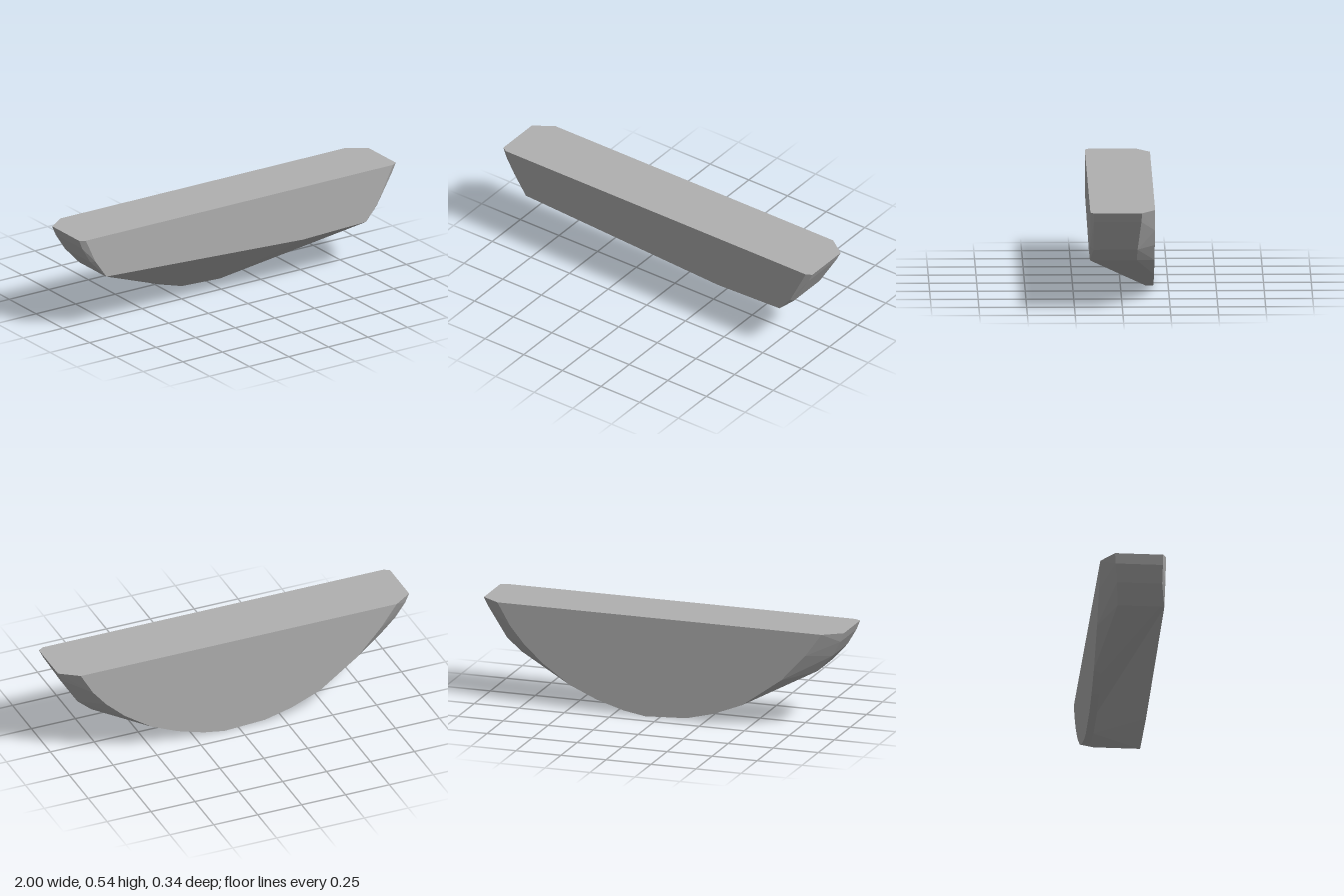
import * as THREE from 'three';
import { ConvexGeometry } from 'three/addons/geometries/ConvexGeometry.js';

const FRONT = 0.17, BACK = -0.17;

export function createModel() {
  const group = new THREE.Group();
  const grey = new THREE.MeshStandardMaterial({ color: 0xb0b0b0 });
  grey.name = 'grey stone';

  const points = [];
  const addOutline = (z, outline) => outline.forEach(([x, y]) => points.push(new THREE.Vector3(x, y, z)));

  // Front face: shallow, with a slightly sloping lower edge
  addOutline(FRONT, [
    [-0.97, 0.54], [-0.91, 0.41], [-0.84, 0.31], [0.4, 0.245],
    [0.8, 0.257], [0.87, 0.34], [0.97, 0.54],
  ]);

  // Back face: a deep rounded bowl outline
  addOutline(BACK, [
    [-0.9, 0.54], [-0.81, 0.416], [-0.676, 0.27], [-0.46, 0.114], [-0.3, 0.05], [-0.15, 0.012],
    [0.08, 0], [0.2, 0.02], [0.35, 0.065], [0.5, 0.13], [0.65, 0.233], [0.755, 0.33], [0.83, 0.42], [0.9, 0.54],
  ]);

  // Narrow lower lip where the sloping underside meets the back
  addOutline(-0.13, [
    [-0.44, 0.1], [-0.3, 0.05], [-0.16, 0.01], [0.08, 0], [0.2, 0.02], [0.31, 0.048],
  ]);

  // Curved ends: rows of [x, y, rear z], each running from front to rear
  const ends = [
    [1, 0.54, -0.1], [0.975, 0.49, -0.097], [0.88, 0.327, -0.078], [0.8, 0.257, -0.075],
    [-1, 0.54, -0.1], [-0.98, 0.49, -0.097], [-0.93, 0.405, -0.085], [-0.845, 0.312, -0.075],
  ];
  for (const [x, y, rear] of ends) {
    points.push(new THREE.Vector3(x, y, 0.152), new THREE.Vector3(x, y, rear));
  }

  // One faceted convex block
  const block = new THREE.Mesh(new ConvexGeometry(points), grey);
  block.name = 'block';
  group.add(block);
  return group;
}
